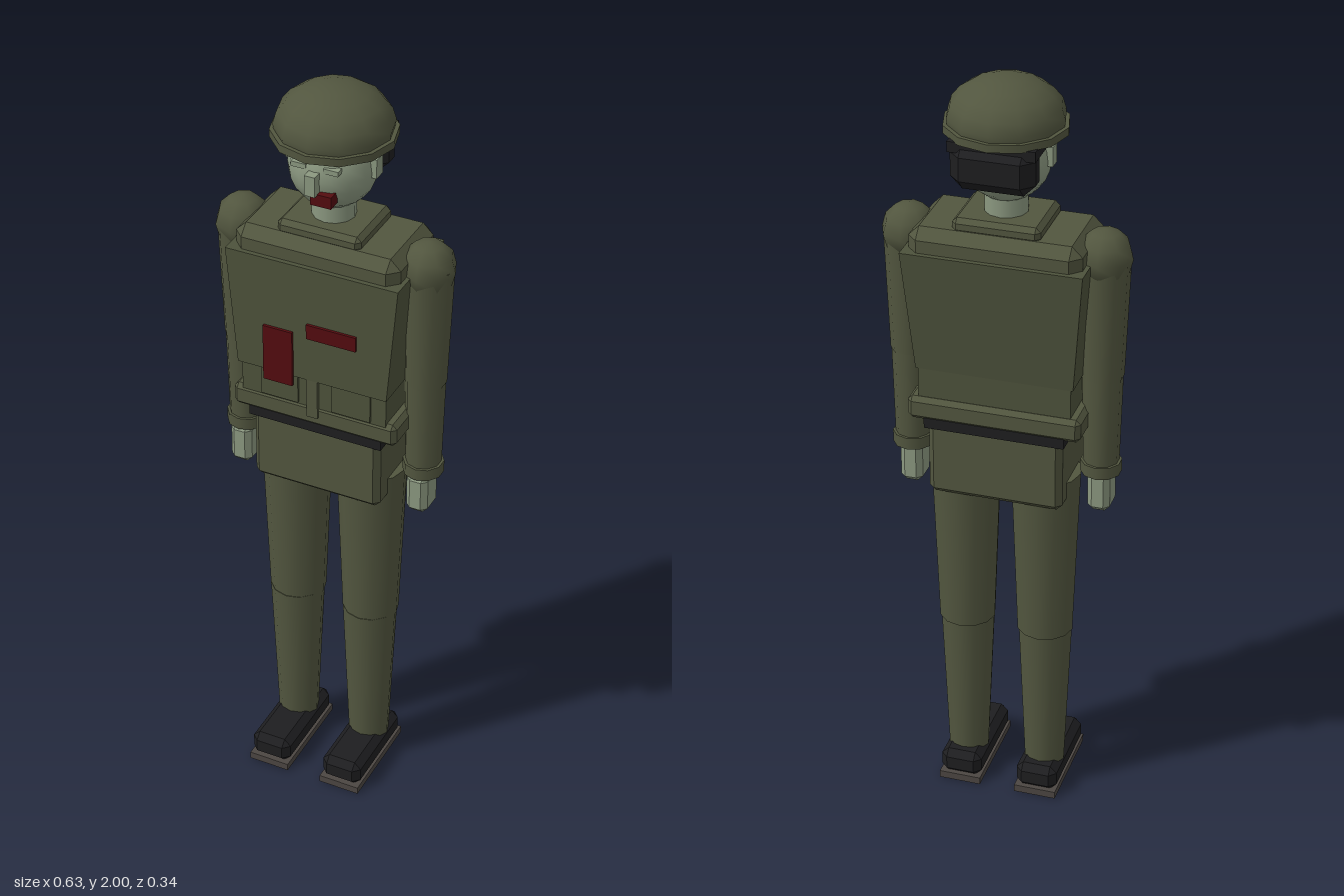
import * as THREE from 'three';
import { ConvexGeometry } from 'three/addons/geometries/ConvexGeometry.js';

const mat = (name, color, side = THREE.FrontSide) => {
  const m = new THREE.MeshStandardMaterial({ color, side });
  m.name = name;
  return m;
};

// Box with every edge cut flat by c
function chamferBox(w, h, d, c) {
  const pts = [];
  for (const x of [-1, 1]) for (const y of [-1, 1]) for (const z of [-1, 1]) {
    pts.push(new THREE.Vector3(x * w / 2, y * (h / 2 - c), z * (d / 2 - c)));
    pts.push(new THREE.Vector3(x * (w / 2 - c), y * h / 2, z * (d / 2 - c)));
    pts.push(new THREE.Vector3(x * (w / 2 - c), y * (h / 2 - c), z * d / 2));
  }
  return new ConvexGeometry(pts);
}

export function createModel() {
  const cloth = mat('olive cloth', 0x52563f);
  const vestCloth = mat('vest olive', 0x4d523b);
  const skin = mat('pale skin', 0x8b9880);
  const black = mat('black', 0x1e1e20);
  const soleMat = mat('sole grey', 0x4c4642);
  const red = mat('dark red', 0x540c10);

  const model = new THREE.Group();
  const add = (name, geo, material, x = 0, y = 0, z = 0, parent = model) => {
    const m = new THREE.Mesh(geo, material);
    m.name = name;
    m.position.set(x, y, z);
    parent.add(m);
    return m;
  };
  // Blocks are given by their limits in x, y and z
  const block = (name, material, [x0, x1], [y0, y1], [z0, z1], c = 0, parent = model) => {
    const w = x1 - x0, h = y1 - y0, d = z1 - z0;
    const geo = c ? chamferBox(w, h, d, c) : new THREE.BoxGeometry(w, h, d);
    return add(name, geo, material, (x0 + x1) / 2, (y0 + y1) / 2, (z0 + z1) / 2, parent);
  };
  const limb = (name, material, rTop, rBottom, y0, y1, x, z, parent, sides = 12) =>
    add(name, new THREE.CylinderGeometry(rTop, rBottom, y1 - y0, sides), material, x, (y0 + y1) / 2, z, parent);

  // Helmet
  const dome = add('helmetDome', new THREE.SphereGeometry(0.145, 12, 6, 0, Math.PI * 2, 0, Math.PI * 0.58), cloth, 0, 1.9, -0.018);
  dome.scale.y = 0.69;
  limb('helmetBrim', cloth, 0.153, 0.153, 1.87, 1.89, 0, -0.018, model);

  // Head
  add('head', new THREE.SphereGeometry(0.11, 16, 12), skin, 0, 1.8, -0.015);
  block('nose', skin, [-0.014, 0.014], [1.772, 1.825], [0.08, 0.115]);
  block('mouth', red, [-0.004, 0.05], [1.744, 1.775], [0.07, 0.104]);
  block('hair', black, [-0.105, 0.105], [1.75, 1.87], [-0.155, -0.065], 0.03);
  block('hairTop', black, [-0.108, 0.108], [1.845, 1.872], [-0.14, -0.02]);
  for (const s of [-1, 1]) {
    const ear = new THREE.BoxGeometry(0.025, 0.05, 0.034);
    add('ear', ear, skin, s * 0.106, 1.815, -0.015);
    add('eye', new THREE.BoxGeometry(0.038, 0.013, 0.02), skin, s * 0.042, 1.832, 0.079);
  }
  limb('neck', skin, 0.054, 0.054, 1.64, 1.73, 0, -0.017, model);

  // Jacket and vest
  block('collar', cloth, [-0.11, 0.11], [1.62, 1.66], [-0.11, 0.075], 0.012);
  block('yoke', cloth, [-0.217, 0.217], [1.54, 1.63], [-0.137, 0.1], 0.027);
  const vest = block('vest', vestCloth, [-0.228, 0.228], [1.25, 1.57], [-0.15, 0.112]);
  const p = vest.geometry.attributes.position;
  for (let i = 0; i < p.count; i++) if (p.getY(i) < 0) {
    p.setX(i, p.getX(i) * 0.88);
    p.setZ(i, p.getZ(i) > 0 ? 0.129 : -0.104);
  }
  vest.geometry.computeVertexNormals();
  block('jacket', vestCloth, [-0.195, 0.195], [1.13, 1.27], [-0.122, 0.098]);
  block('waistBand', cloth, [-0.222, 0.222], [1.11, 1.172], [-0.135, 0.102], 0.012);
  block('pocket', vestCloth, [-0.14, -0.04], [1.17, 1.25], [0.08, 0.104]);
  block('pocket', vestCloth, [0.05, 0.155], [1.17, 1.25], [0.08, 0.104]);
  block('strap', cloth, [-0.015, 0.015], [1.14, 1.25], [0.08, 0.108]);
  block('belt', black, [-0.18, 0.18], [1.087, 1.115], [-0.128, 0.094]);
  block('jacketSkirt', cloth, [-0.173, 0.173], [0.9, 1.1], [-0.123, 0.09], 0.015);
  block('redPatch', red, [-0.127, -0.048], [1.225, 1.38], [0.11, 0.118]);
  block('redBar', red, [-0.01, 0.122], [1.375, 1.415], [0.11, 0.118]);

  // Arms and legs
  for (const s of [-1, 1]) {
    const arm = new THREE.Group();
    arm.name = s > 0 ? 'leftArm' : 'rightArm';
    model.add(arm);
    const ball = add('shoulder', new THREE.SphereGeometry(0.072, 8, 6), cloth, s * 0.246, 1.572, -0.019, arm);
    ball.scale.x = 0.98;
    limb('upperArm', cloth, 0.064, 0.052, 1.25, 1.58, s * 0.247, -0.018, arm, 10);
    limb('forearm', cloth, 0.051, 0.045, 1.0, 1.255, s * 0.246, -0.018, arm, 10);
    limb('cuff', cloth, 0.052, 0.052, 0.98, 1.012, s * 0.246, -0.018, arm, 10);
    block('hand', skin, [s * 0.246 - 0.029, s * 0.246 + 0.029], [0.874, 0.985], [-0.05, 0.03], 0.014, arm);

    const leg = new THREE.Group();
    leg.name = s > 0 ? 'leftLeg' : 'rightLeg';
    model.add(leg);
    limb('thigh', cloth, 0.09, 0.073, 0.49, 0.96, s * 0.105, -0.02, leg);
    limb('shin', cloth, 0.071, 0.053, 0.07, 0.5, s * 0.105, -0.016, leg);
    block('shoe', black, [s * 0.104 - 0.055, s * 0.104 + 0.055], [0.015, 0.086], [-0.103, 0.165], 0.018, leg);
    block('sole', soleMat, [s * 0.104 - 0.056, s * 0.104 + 0.056], [0, 0.02], [-0.105, 0.168], 0, leg);
  }
  return model;
}
